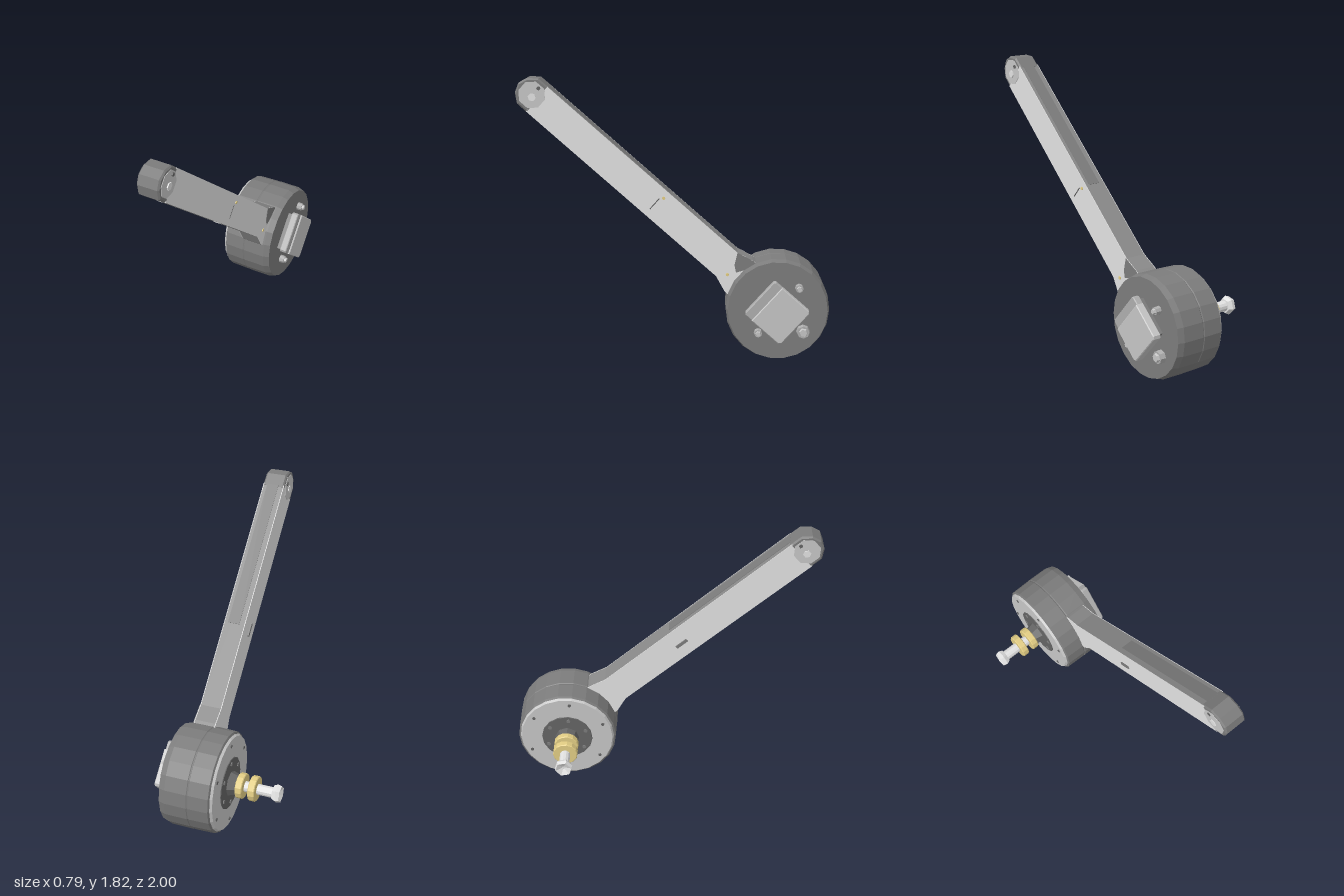
import * as THREE from 'three';

export function createModel() {
  const mat = (name, color) => {
    const m = new THREE.MeshStandardMaterial({ color, flatShading: true });
    m.name = name;
    return m;
  };
  const dark = mat('dark housing grey', 0x7c7c7c);
  const hub = mat('charcoal', 0x646464);
  const armGrey = mat('arm grey', 0x8a8a8a);
  const mid = mat('strip grey', 0xaeaeae);
  const cover = mat('cover grey', 0xc6c6c6);
  const pale = mat('pale grey', 0xe2e2e2);
  const brass = mat('brass', 0xe2cd84);

  const root = new THREE.Group();
  root.name = 'crankArm';

  // Working frame: local x runs along the arm, local y to its underside, local z is the axle (+x).
  const frame = new THREE.Group();
  frame.name = 'assembly';
  const a = Math.atan2(1.385, 1.565), s = Math.sin(a), c = Math.cos(a);
  frame.applyMatrix4(new THREE.Matrix4().makeBasis(
    new THREE.Vector3(0, s, c), new THREE.Vector3(0, -c, s), new THREE.Vector3(1, 0, 0)));
  frame.position.set(0, 0.335, -0.665);
  root.add(frame);

  const add = (name, geo, material, x = 0, y = 0, z = 0) => {
    const m = new THREE.Mesh(geo, material);
    m.name = name;
    m.position.set(x, y, z);
    frame.add(m);
  };
  // Turned part from [radius, axial position] pairs
  const turned = (pts, sides) => new THREE.LatheGeometry(
    pts.map(p => new THREE.Vector2(p[0], p[1])), sides).rotateX(Math.PI / 2);
  const disc = (name, r0, r1, z0, z1, sides, material, x = 0, y = 0) =>
    add(name, turned([[0, z0], [r0, z0], [r1, z1], [0, z1]], sides), material, x, y);
  // Flat part from an outline, with an optional chamfer
  const slab = (pts, z0, z1, bevel = 0) => {
    const shape = new THREE.Shape(pts.map(p => new THREE.Vector2(p[0], p[1])));
    return new THREE.ExtrudeGeometry(shape, {
      depth: z1 - z0 - 2 * bevel, bevelEnabled: bevel > 0, bevelSize: bevel,
      bevelThickness: bevel, bevelOffset: -bevel, bevelSegments: 1,
    }).translate(0, 0, z0 + bevel);
  };
  // Position on the housing face from world z and y
  const local = (z, y) => {
    const dz = z + 0.665, dy = y - 0.335;
    return [dy * s + dz * c, -dy * c + dz * s];
  };

  // Round housing in two halves with a seam
  add('housing', turned([[0, -0.045], [0.31, -0.045], [0.332, -0.032], [0.335, 0.1], [0.332, 0.105],
    [0.332, 0.108], [0.336, 0.113], [0.335, 0.26], [0.322, 0.3], [0, 0.3]], 22), dark);

  // Inner face ring, hub face and bolts
  add('innerFace', turned([[0.17, -0.055], [0.31, -0.055], [0.32, -0.04], [0.17, -0.04]], 22), cover);
  disc('hubPlate', 0.17, 0.18, -0.06, -0.04, 16, hub);
  for (let i = 0; i < 6; i++) {
    const t = i * Math.PI / 3 + 0.3;
    disc('hubBolt', 0.014, 0.014, -0.066, -0.05, 6, dark, 0.14 * Math.cos(t), 0.14 * Math.sin(t));
    disc('rimBolt', 0.012, 0.012, -0.06, -0.04, 6, hub, 0.27 * Math.cos(t), 0.27 * Math.sin(t));
  }

  // Axle with nut, brass collars and faceted head
  disc('axleNut', 0.065, 0.085, -0.115, -0.05, 8, hub);
  disc('axle', 0.035, 0.035, -0.38, -0.1, 12, pale);
  for (const z of [-0.16, -0.245]) {
    add('brassCollar', turned([[0, z], [0.078, z], [0.083, z + 0.005], [0.083, z + 0.041],
      [0.078, z + 0.046], [0, z + 0.046]], 14), brass);
  }
  add('axleHead', turned([[0, -0.375], [0.055, -0.4], [0.062, -0.375], [0.05, -0.35], [0, -0.345]], 6), pale);

  // Square cover with a lower strip on the arm side
  add('coverBase', new THREE.BoxGeometry(0.26, 0.26, 0.04), dark, 0.01, 0, 0.315);
  add('cover', slab([[-0.145, -0.13], [-0.13, -0.145], [0.1, -0.145], [0.1, 0.145],
    [-0.13, 0.145], [-0.145, 0.13]], 0.33, 0.387, 0.005), cover);
  add('coverStrip', slab([[0.095, -0.145], [0.15, -0.145], [0.162, -0.133],
    [0.162, 0.133], [0.15, 0.145], [0.095, 0.145]], 0.33, 0.378, 0.005), mid);

  // Cover screws
  for (const [z, y, r] of [[-0.8, 0.49, 0.028], [-0.54, 0.19, 0.028], [-0.83, 0.2, 0.045]]) {
    const [u, v] = local(z, y);
    disc('screwBoss', r, r * 0.9, 0.295, 0.335, 8, mid, u, v);
    disc('screwHead', r * 0.7, r * 0.55, 0.33, 0.35, 6, cover, u, v);
  }

  // Arm with a flared root and separate side faces
  const outline = [[0.22, -0.14], [0.33, -0.13], [0.44, -0.104], [2.045, -0.104],
    [2.045, 0.104], [0.44, 0.104], [0.33, 0.143], [0.22, 0.15]];
  add('arm', slab(outline, 0.105, 0.243), armGrey);
  add('armOuterFace', slab(outline, 0.243, 0.247), pale);
  add('armInnerFace', slab(outline, 0.101, 0.105), pale);
  add('armRootPatch', slab([[0.28, -0.132], [0.33, -0.13], [0.44, -0.104], [0.4, -0.03], [0.36, 0]],
    0.246, 0.251), dark);

  // Rounded end cap with face plates, screws and pins
  add('endCap', slab([[2.03, -0.106], [2.12, -0.105], [2.175, -0.06], [2.197, 0.0],
    [2.175, 0.06], [2.12, 0.105], [2.03, 0.106]], 0.1, 0.247, 0.01), dark);
  const badge = [];
  for (let i = 0; i < 8; i++) {
    const t = (i + 0.5) * Math.PI / 4;
    badge.push([2.085 + 0.088 * Math.cos(t), 0.088 * Math.sin(t)]);
  }
  add('endPlate', slab(badge, 0.246, 0.25), cover);
  add('endPlate', slab(badge, 0.097, 0.101), cover);
  for (const [z0, z1] of [[0.092, 0.104], [0.247, 0.257]]) {
    disc('endScrew', 0.026, 0.026, z0, z1, 6, pale, 2.075, 0.01);
    disc('endPin', 0.013, 0.013, z0, z1, 6, hub, 2.08, -0.06);
  }

  // Long panel on the upper edge, small catches below
  add('topPanel', new THREE.BoxGeometry(1.02, 0.006, 0.08), dark, 1.53, -0.104, 0.18);
  add('undersideScrew', new THREE.CylinderGeometry(0.016, 0.016, 0.01, 8), pale, 1.965, 0.102, 0.175);
  add('undersideCatch', new THREE.BoxGeometry(0.045, 0.01, 0.04), pale, 1.045, 0.102, 0.178);

  // Side catch, slot and brass contacts
  add('sideCatch', new THREE.BoxGeometry(0.09, 0.02, 0.016), dark, 1.03, 0.01, 0.1);
  add('sideSlot', new THREE.BoxGeometry(0.006, 0.09, 0.004), hub, 1.05, 0.01, 0.248);
  for (const [z, y] of [[-0.34, 0.56], [0.07, 1.06]]) {
    const [u, v] = local(z, y);
    disc('brassContact', 0.011, 0.011, 0.245, 0.253, 6, brass, u, v);
  }

  return root;
}
